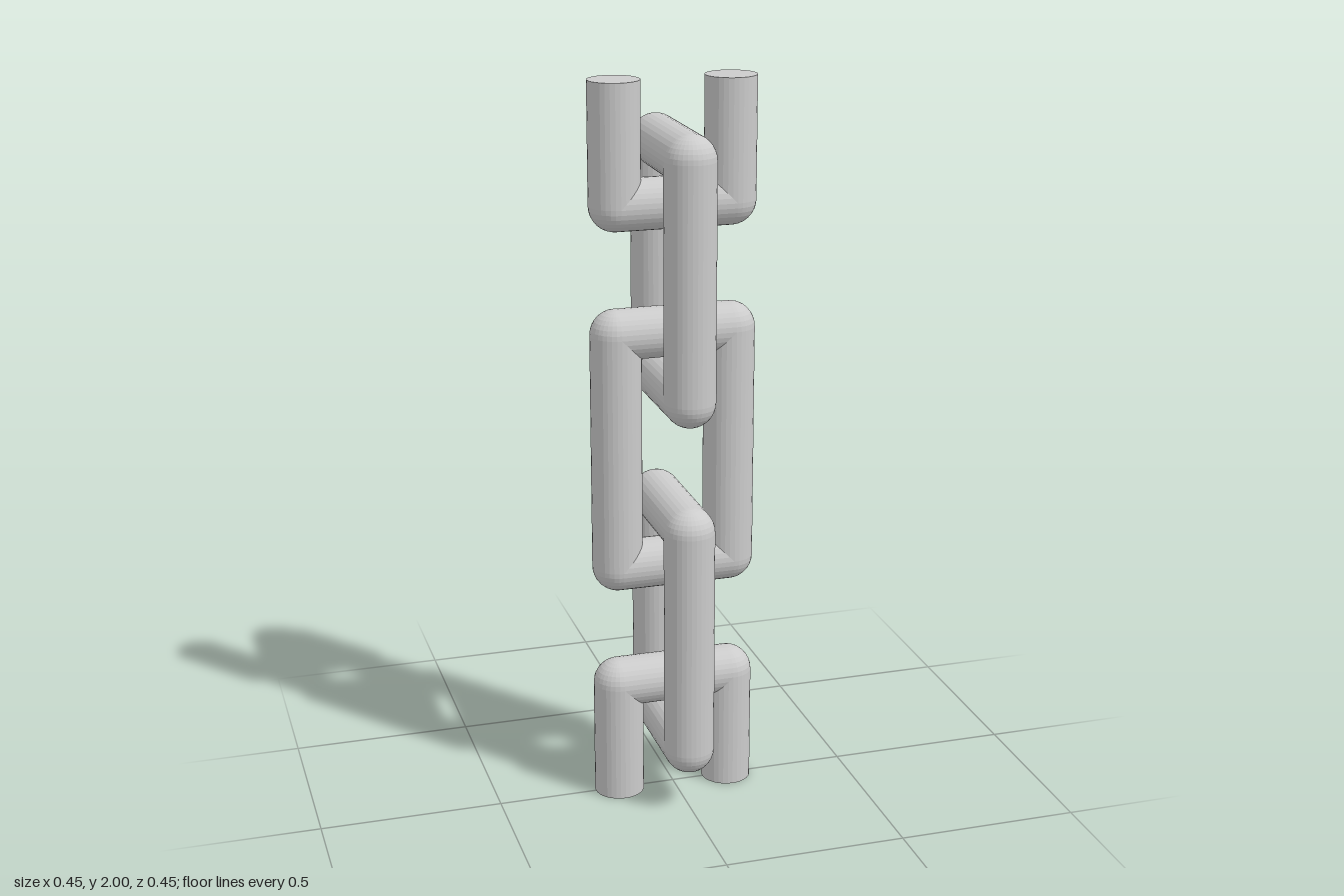
import * as THREE from 'three';

const R = 0.069; // bar radius
const HALF = 0.157; // half distance between the two legs of a link
const SIDES = 32;

export function createModel() {
  const model = new THREE.Group();
  model.name = 'chain';
  const material = new THREE.MeshStandardMaterial({ color: 0xcccccc, flatShading: true });

  function add(link, name, geometry, x, y) {
    const mesh = new THREE.Mesh(geometry, material);
    mesh.name = name;
    mesh.position.set(x, y, 0);
    link.add(mesh);
    return mesh;
  }

  // A link spans outer heights y0..y1; a cut end stays open, with flat leg ends
  function addLink(name, y0, y1, turned, cutBottom = false, cutTop = false) {
    const link = new THREE.Group();
    link.name = name;
    const low = cutBottom ? y0 : y0 + R;
    const high = cutTop ? y1 : y1 - R;

    // Upright legs
    for (const side of [-1, 1]) {
      add(link, side > 0 ? 'leftLeg' : 'rightLeg',
        new THREE.CylinderGeometry(R, R, high - low, SIDES), side * HALF, (low + high) / 2);
    }

    // Crossbars with rounded corners
    const ends = [];
    if (!cutBottom) ends.push(['bottom', low]);
    if (!cutTop) ends.push(['top', high]);
    for (const [end, y] of ends) {
      const bar = add(link, end + 'Crossbar',
        new THREE.CylinderGeometry(R, R, 2 * HALF, SIDES), 0, y);
      bar.rotation.z = Math.PI / 2;
      for (const side of [-1, 1]) {
        add(link, end + 'Corner', new THREE.SphereGeometry(R, SIDES, 16), side * HALF, y);
      }
    }

    if (turned) link.rotation.y = Math.PI / 2;
    model.add(link);
  }

  addLink('bottomHalfLink', 0, 0.398, false, true, false);
  addLink('lowerTurnedLink', 0.11, 0.883, true);
  addLink('middleLink', 0.608, 1.398, false);
  addLink('upperTurnedLink', 1.108, 1.881, true);
  addLink('topHalfLink', 1.606, 2, false, false, true);

  return model;
}
